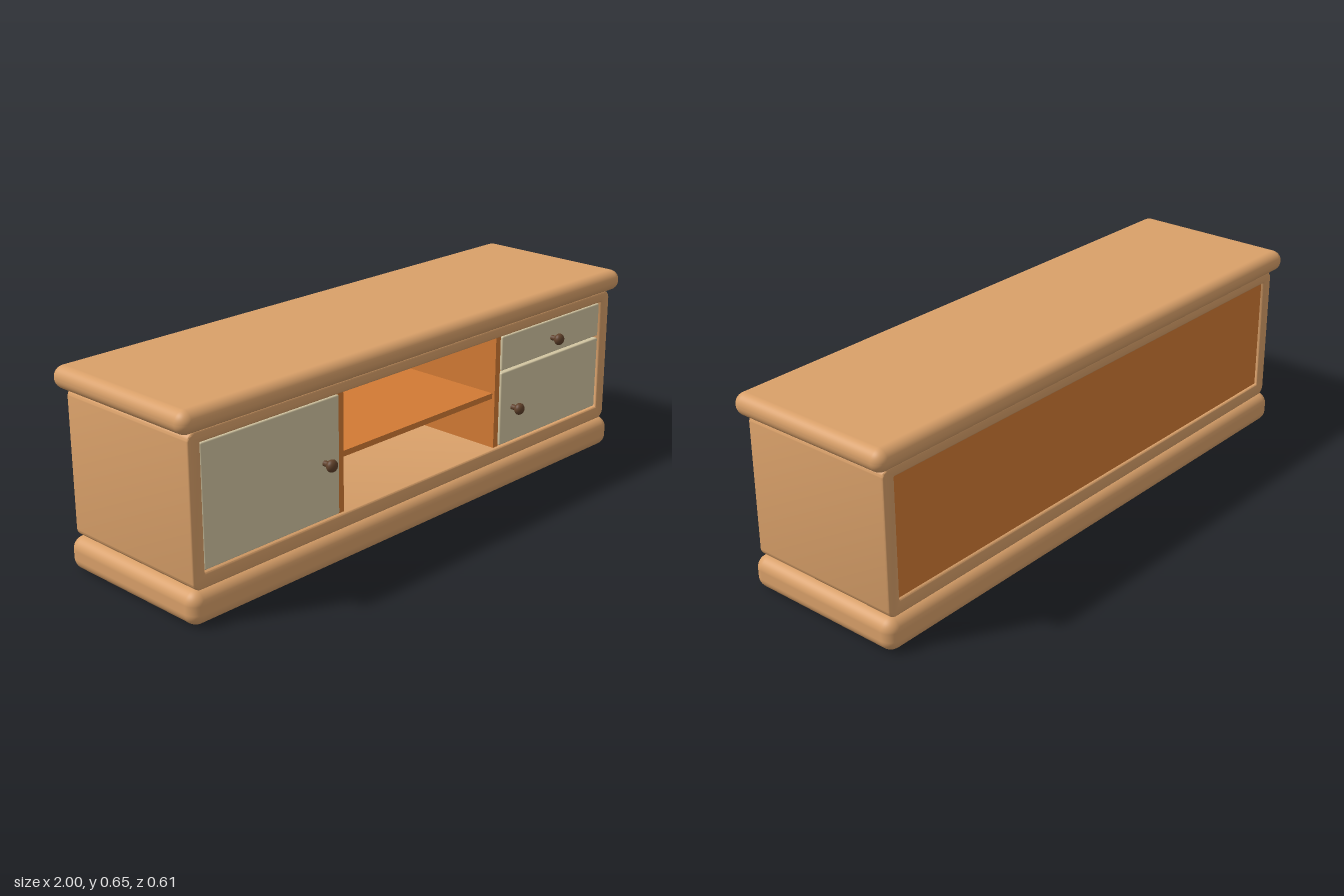
import * as THREE from 'three';
import { toCreasedNormals } from 'three/addons/utils/BufferGeometryUtils.js';
import { RoundedBoxGeometry } from 'three/addons/geometries/RoundedBoxGeometry.js';

const material = (name, color) => {
  const m = new THREE.MeshStandardMaterial({ color });
  m.name = name;
  return m;
};

// Rounded rectangle, drawn on a Shape or a Path
function roundedRect(path, x0, y0, x1, y1, r) {
  path.moveTo(x0 + r, y0);
  path.lineTo(x1 - r, y0);
  path.absarc(x1 - r, y0 + r, r, -Math.PI / 2, 0);
  path.lineTo(x1, y1 - r);
  path.absarc(x1 - r, y1 - r, r, 0, Math.PI / 2);
  path.lineTo(x0 + r, y1);
  path.absarc(x0 + r, y1 - r, r, Math.PI / 2, Math.PI);
  path.lineTo(x0, y0 + r);
  path.absarc(x0 + r, y0 + r, r, Math.PI, Math.PI * 1.5);
  return path;
}

export function createModel() {
  const wood = material('light wood', 0xd9a069);
  const orange = material('orange wood', 0xd27a34);
  const cream = material('cream paint', 0xd3c6a2);
  const brown = material('dark brown wood', 0x60412a);
  const group = new THREE.Group();

  const add = (name, geometry, mat) => {
    const mesh = new THREE.Mesh(geometry, mat);
    mesh.name = name;
    group.add(mesh);
    return mesh;
  };

  // Box given by its limits; a radius rounds the edges
  const box = (name, mat, [x0, x1], [y0, y1], [z0, z1], radius = 0) => {
    const size = [x1 - x0, y1 - y0, z1 - z0];
    const geometry = radius
      ? new RoundedBoxGeometry(...size, 5, radius)
      : new THREE.BoxGeometry(...size);
    add(name, geometry, mat).position.set((x0 + x1) / 2, (y0 + y1) / 2, (z0 + z1) / 2);
  };

  // Thick top and plinth
  box('top', wood, [-1, 1], [0.58, 0.652], [-0.305, 0.29], 0.035);
  box('plinth', wood, [-0.982, 0.982], [0, 0.108], [-0.297, 0.283], 0.04);

  // Carcass: a tube with softened rims, open at front and back
  const bevel = 0.006;
  const outline = roundedRect(new THREE.Shape(), -0.957, 0.113, 0.957, 0.575, 0.022);
  outline.holes.push(roundedRect(new THREE.Path(), -0.925, 0.149, 0.925, 0.551, 0.008));
  const carcass = new THREE.ExtrudeGeometry(outline, {
    depth: 0.541 - 2 * bevel, bevelSize: bevel, bevelThickness: bevel, bevelSegments: 3, curveSegments: 6,
  });
  carcass.translate(0, 0, -0.277 + bevel);
  add('carcass', toCreasedNormals(carcass, 0.6), wood);

  // Back panel, dividers and shelf
  box('backPanel', orange, [-0.921, 0.921], [0.153, 0.547], [-0.267, -0.25]);
  for (const side of [-1, 1]) {
    const x = side * 0.368;
    box(side > 0 ? 'leftDivider' : 'rightDivider', orange, [x - 0.012, x + 0.012], [0.153, 0.547], [-0.25, 0.25]);
  }
  box('shelf', orange, [-0.357, 0.357], [0.328, 0.347], [-0.25, 0.24]);

  // Doors and drawer front
  const front = [0.236, 0.259];
  box('rightDoor', cream, [-0.916, -0.382], [0.159, 0.541], front, 0.005);
  box('leftDoor', cream, [0.379, 0.914], [0.159, 0.415], front, 0.005);
  box('drawerFront', cream, [0.379, 0.914], [0.423, 0.541], front, 0.005);

  // Turned knobs: a slim stem and a flattened ball
  const stem = new THREE.CylinderGeometry(0.009, 0.009, 0.035, 16).rotateX(Math.PI / 2);
  const ball = new THREE.SphereGeometry(0.02, 24, 16).scale(1, 1, 0.78);
  const knobs = [['rightDoor', -0.445, 0.342], ['leftDoor', 0.44, 0.282], ['drawer', 0.645, 0.478]];
  for (const [name, x, y] of knobs) {
    add(name + 'KnobStem', stem, brown).position.set(x, y, 0.265);
    add(name + 'Knob', ball, brown).position.set(x, y, 0.29);
  }

  return group;
}
